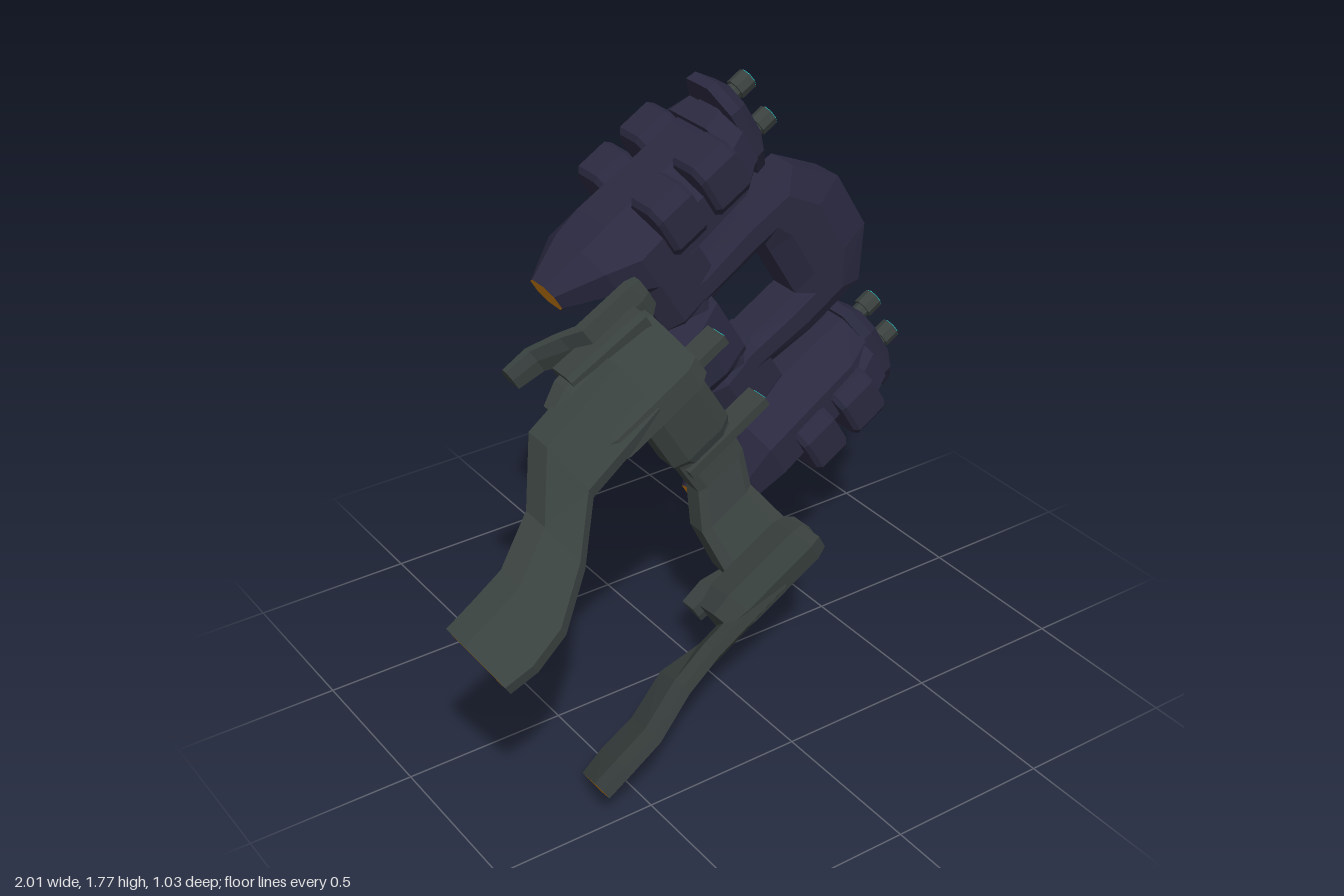
import * as THREE from 'three';

const paint = (name, hex) => {
  const m = new THREE.MeshStandardMaterial({ color: hex });
  m.name = name;
  m.flatShading = true;
  return m;
};

export function createModel() {
  const hullMat = paint('dark violet hull', 0x2a2940);
  const clawMat = paint('grey claw', 0x39413f);
  const glowMat = paint('cyan glow', 0x12dede);
  const endMat = paint('orange end', 0xc47a10);
  const ZC = -0.3; // middle plane of the hull

  const model = new THREE.Group();
  model.name = 'model';
  // everything is built level, x along the hull, then tilted
  const craft = new THREE.Group();
  craft.name = 'tiltedCraft';
  craft.position.set(0.073, 0.8735, 0);
  craft.rotation.z = THREE.MathUtils.degToRad(31);
  model.add(craft);

  const add = (name, geo, mat) => {
    const mesh = new THREE.Mesh(geo, mat);
    mesh.name = name;
    craft.add(mesh);
    return mesh;
  };

  // flat-shaded skin through rings of points, closed at both ends;
  // the first end may have its own colour
  function loft(name, rings, mat, firstCapMat = mat) {
    const tris = [];
    const fan = (r) => {
      for (let i = 1; i < r.length - 1; i++) tris.push([r[0], r[i + 1], r[i]]);
    };
    fan(rings[0]);
    const capCount = tris.length * 3;
    for (let k = 0; k < rings.length - 1; k++) {
      const p = rings[k], q = rings[k + 1], n = p.length;
      for (let i = 0; i < n; i++) {
        const j = (i + 1) % n;
        tris.push([p[i], p[j], q[j]], [p[i], q[j], q[i]]);
      }
    }
    fan([...rings[rings.length - 1]].reverse());
    // turn the skin outward if the rings ran the other way
    let vol = 0;
    const o = new THREE.Vector3(...rings[0][0]);
    const v = (p) => new THREE.Vector3(...p).sub(o);
    for (const t of tris) vol += v(t[0]).dot(v(t[1]).cross(v(t[2])));
    if (vol < 0) tris.forEach((t) => t.reverse());
    const geo = new THREE.BufferGeometry();
    geo.setAttribute('position', new THREE.Float32BufferAttribute(tris.flat(2), 3));
    geo.computeVertexNormals();
    geo.addGroup(0, capCount, 0);
    geo.addGroup(capCount, tris.length * 3 - capCount, 1);
    return add(name, geo, [firstCapMat, mat]);
  }

  // chamfered rectangle, as [p, q] pairs
  const oct = (p0, p1, q0, q1, c) => {
    const cp = (p1 - p0) * c, cq = (q1 - q0) * c;
    return [[p0 + cp, q0], [p1 - cp, q0], [p1, q0 + cq], [p1, q1 - cq],
      [p1 - cp, q1], [p0 + cp, q1], [p0, q1 - cq], [p0, q0 + cq]];
  };
  // ring across the x axis: height range on side s, depth around zc
  const ringX = (s, x, y0, y1, hz, c, zc = ZC) =>
    oct(y0, y1, zc - hz, zc + hz, c).map(([y, z]) => [x, s * y, z]);
  // ring across the y axis
  const ringY = (y, x0, x1, zc, hz, c) =>
    oct(x0, x1, zc - hz, zc + hz, c).map(([x, z]) => [x, y, z]);
  const box = (name, mat, x0, x1, y0, y1, z0, z1) =>
    add(name, new THREE.BoxGeometry(x1 - x0, y1 - y0, z1 - z0), mat)
      .position.set((x0 + x1) / 2, (y0 + y1) / 2, (z0 + z1) / 2);

  // ring body around a square opening: outer x, y and inner x, y per section
  const arc = [[0.8, 0.11, 0.485, 0.08], [0.69, 0.265, 0.485, 0.115], [0.47, 0.272, 0.44, 0.115],
    [0.28, 0.25, 0.28, 0.115], [0.1, 0.25, 0.255, 0.115], [0.08, 0.1, 0.255, 0.08]];
  const loop = [...arc, ...arc.map(([a, b, c, d]) => [a, -b, c, -d]).reverse(), arc[0]];
  loft('ringBody', loop.map(([ox, oy, ix, iy]) => {
    const at = (t, h) => [ox + (ix - ox) * t, oy + (iy - oy) * t, ZC + h];
    return [at(1, 0.055), at(0.75, 0.085), at(0.35, 0.085), at(0, 0.055),
      at(0, -0.055), at(0.35, -0.085), at(0.75, -0.085), at(1, -0.055)];
  }), hullMat);
  box('noseLight', glowMat, 0.795, 0.802, -0.105, 0.095, -0.353, -0.333);

  // rear block behind the ring
  loft('rearBlock', [
    ringX(1, -0.15, -0.11, 0.11, 0.07, 0.2),
    ringX(1, -0.02, -0.14, 0.14, 0.115, 0.2),
    ringX(1, 0.14, -0.16, 0.16, 0.12, 0.2),
    ringX(1, 0.25, -0.17, 0.17, 0.08, 0.2)], hullMat, endMat);
  box('rearLightMount', hullMat, 0.06, 0.185, -0.05, 0.05, -0.425, -0.36);
  box('rearLight', glowMat, 0.185, 0.192, -0.05, 0.05, -0.425, -0.37);

  for (const s of [1, -1]) {
    const side = s > 0 ? 'upper' : 'lower';

    // engine pod and pylon
    loft(side + 'PodHull', [
      ringX(s, -0.14, 0.46, 0.56, 0.065, 0.25),
      ringX(s, 0.0, 0.4, 0.59, 0.155, 0.28),
      ringX(s, 0.1, 0.31, 0.6, 0.19, 0.3),
      ringX(s, 0.48, 0.32, 0.6, 0.17, 0.3),
      ringX(s, 0.6, 0.36, 0.61, 0.1, 0.3)], hullMat, endMat);
    loft(side + 'Pylon', [
      ringX(s, 0.07, 0.1, 0.38, 0.07, 0.2),
      ringX(s, 0.13, 0.1, 0.38, 0.1, 0.2),
      ringX(s, 0.3, 0.1, 0.36, 0.075, 0.2)], hullMat);
    // armour blocks on both flanks of the pod
    for (const [x0, x1] of [[0.19, 0.325], [0.36, 0.5]]) {
      for (const f of [1, -1]) {
        const zc = ZC + f * 0.14;
        loft(side + 'PodArmour', [
          ringX(s, x0, 0.44, 0.61, 0.07, 0.2, zc),
          ringX(s, x0 + 0.015, 0.43, 0.625, 0.081, 0.2, zc),
          ringX(s, x1 - 0.015, 0.43, 0.625, 0.081, 0.2, zc),
          ringX(s, x1, 0.44, 0.61, 0.07, 0.2, zc)], hullMat);
      }
    }
    loft(side + 'PodCollar', [
      ringX(s, 0.5, 0.4, 0.62, 0.18, 0.25),
      ringX(s, 0.57, 0.4, 0.62, 0.15, 0.25)], hullMat);
    loft(side + 'PodNosePlate', [
      ringX(s, 0.58, 0.335, 0.69, 0.106, 0.25),
      ringX(s, 0.615, 0.34, 0.685, 0.106, 0.25),
      ringX(s, 0.65, 0.4, 0.63, 0.07, 0.25)], hullMat);

    // nozzles with glowing ends
    for (const y of [0.425, 0.578]) {
      const tube = (name, mat, r, x0, x1) => {
        const m = add(name, new THREE.CylinderGeometry(r, r, x1 - x0, 8), mat);
        m.rotation.z = -Math.PI / 2;
        m.position.set((x0 + x1) / 2, s * y, ZC);
      };
      tube('nozzleNeck', clawMat, 0.026, 0.63, 0.69);
      tube('nozzle', clawMat, 0.034, 0.672, 0.725);
      tube('nozzleGlow', glowMat, 0.032, 0.72, 0.727);
    }

    // curved claw blade: inner edge (yi, zi), outer edge (yo, zo) at each x
    const armRing = ([x, yi, zi, yo, zo]) => [[yo, zo], [yo - 0.012, zo + 0.085], [yi + 0.035, zi + 0.005],
      [yi, zi], [yi + 0.015, zi - 0.055], [yo - 0.03, zo]].map(([y, z]) => [x, s * y, z]);
    loft(side + 'ClawArm', [
      [-1.01, 0.265, 0.495, 0.405, 0.295], [-0.92, 0.255, 0.5, 0.4, 0.285],
      [-0.8, 0.265, 0.485, 0.405, 0.28], [-0.64, 0.305, 0.4, 0.43, 0.21],
      [-0.49, 0.385, 0.31, 0.555, 0.13], [-0.2, 0.4, 0.29, 0.57, 0.11],
    ].map(armRing), clawMat, endMat);

    // elbow block with a sloping outer face
    const elbowShape = [[0.58, 0.08], [0.575, 0.13], [0.455, 0.29], [0.385, 0.3], [0.39, 0.2], [0.43, 0.08]];
    loft(side + 'Elbow', [[-0.41, 0.8], [-0.34, 1], [-0.07, 1], [-0.03, 0.85]].map(([x, k]) =>
      elbowShape.map(([y, z]) => [x, s * (0.47 + (y - 0.47) * k), 0.18 + (z - 0.18) * k])), clawMat);

    // stepped outer bar, sloping back, and its cover
    const barShape = [[0.645, 0.035], [0.645, 0], [0.58, -0.065], [0.53, -0.065], [0.52, 0.045], [0.59, 0.05]];
    loft(side + 'ElbowBar', [[-0.415, -0.045, 0.55], [-0.33, -0.04, 0.65], [-0.25, 0.01, 0.8],
      [-0.2, 0.055, 1], [-0.02, 0.06, 1], [0.01, 0.065, 0.75]].map(([x, dz, k]) =>
      barShape.map(([y, z]) => [x, s * (0.61 + (y - 0.61) * k), dz + z * k])), clawMat);
    loft(side + 'ElbowCover', [
      ringX(s, -0.32, 0.5, 0.595, 0.05, 0.15, 0.09),
      ringX(s, -0.05, 0.5, 0.6, 0.05, 0.15, 0.11)], clawMat);

    // hub clamp bar with light
    const yc = s * 0.1485 + 0.0085;
    box(side + 'ClampBar', clawMat, -0.17, 0.153, yc - 0.016, yc + 0.016, -0.1, -0.015);
    box(side + 'ClampLight', glowMat, 0.148, 0.155, yc - 0.014, yc + 0.014, -0.075, -0.022);
  }

  // claw spine running between the elbows
  const half = [[0.57, -0.27, -0.03, 0.07, 0.05], [0.46, -0.28, -0.03, 0.03, 0.05],
    [0.33, -0.25, -0.04, -0.035, 0.045], [0.22, -0.18, 0.01, -0.06, 0.045],
    [0.12, -0.18, 0.02, -0.075, 0.045]];
  const spine = [...half, ...half.map(([y, ...r]) => [-y, ...r]).reverse()];
  loft('clawSpine', spine.map(([y, x0, x1, z, h]) => ringY(y, x0, x1, z, h, 0.15)), clawMat);

  // hub in the middle of the spine
  loft('hub', [[-0.13, -0.17, 0.02, 0.05], [-0.09, -0.195, 0.035, 0.062],
    [0.09, -0.195, 0.035, 0.062], [0.13, -0.17, 0.02, 0.05]]
    .map(([y, x0, x1, h]) => ringY(y, x0, x1, -0.08, h, 0.2)), clawMat);

  return model;
}
